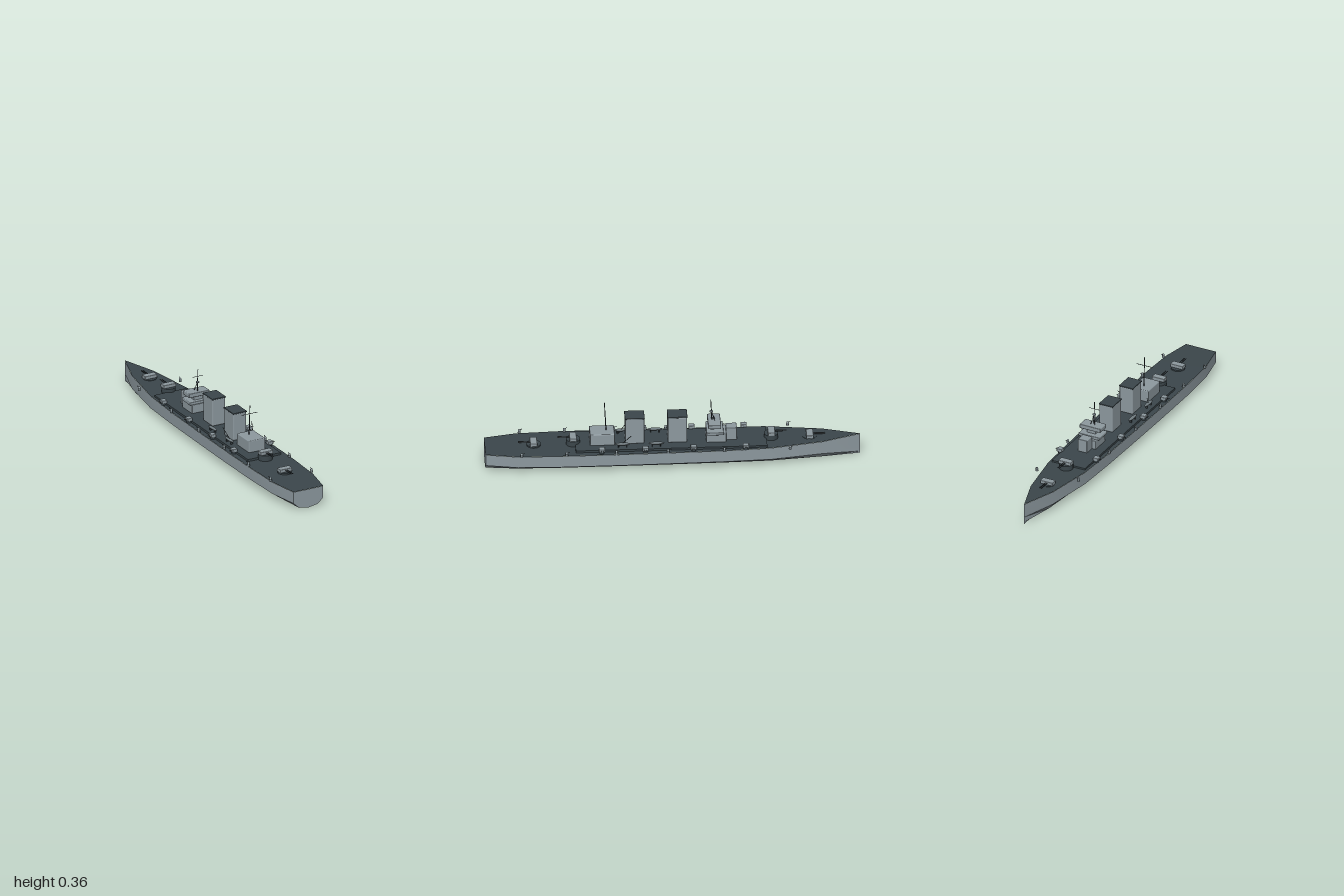
import * as THREE from 'three';
import { toCreasedNormals } from 'three/addons/utils/BufferGeometryUtils.js';
import { RoundedBoxGeometry } from 'three/addons/geometries/RoundedBoxGeometry.js';

const paint = new THREE.MeshStandardMaterial({ name: 'hull grey', color: 0x8d999f });
const deckPaint = new THREE.MeshStandardMaterial({ name: 'deck slate', color: 0x3b464b });
const gunmetal = new THREE.MeshStandardMaterial({ name: 'gunmetal', color: 0x343c40 });
const fitting = new THREE.MeshStandardMaterial({ name: 'boat grey', color: 0x6f7a7f });

// Hull stations, bow to stern: z, half width, deck height
const stations = [
  [-1, 0, 0.12], [-0.8, 0.067, 0.117], [-0.52, 0.112, 0.113], [-0.27, 0.122, 0.11],
  [0.03, 0.127, 0.11], [0.3, 0.13, 0.11], [0.6, 0.13, 0.11], [0.83, 0.122, 0.109], [1, 0.09, 0.108],
];

function geometryFrom(triangles, crease) {
  const g = new THREE.BufferGeometry();
  g.setAttribute('position', new THREE.Float32BufferAttribute(triangles.flat(), 3));
  g.computeVertexNormals();
  return toCreasedNormals(g, crease);
}

function hullGeometry() {
  const rings = stations.map(([z, w, d]) => [
    [w, d, z], [w, 0.043, z], [w * 0.64, 0.012, z], [0, 0.002, z],
    [-w * 0.64, 0.012, z], [-w, 0.043, z], [-w, d, z],
  ]);
  const t = [];
  for (let j = 0; j < rings.length - 1; j++) {
    for (let i = 0; i < 6; i++) {
      const a = rings[j][i], b = rings[j + 1][i], c = rings[j][i + 1], d = rings[j + 1][i + 1];
      t.push(a, b, c, c, b, d);
    }
  }
  // Flat transom
  const stern = rings[rings.length - 1];
  for (let i = 0; i < 6; i++) t.push([0, 0.108, 1], stern[i + 1], stern[i]);
  return geometryFrom(t, 0.3);
}

function deckGeometry() {
  const t = [];
  for (let j = 0; j < stations.length - 1; j++) {
    const [z0, w0, d0] = stations[j], [z1, w1, d1] = stations[j + 1];
    const e = 0.001;
    const a = [-w0, d0 + e, z0], b = [-w1, d1 + e, z1], c = [w0, d0 + e, z0], d = [w1, d1 + e, z1];
    t.push(a, b, c, c, b, d);
  }
  return geometryFrom(t, 0.3);
}

export function createModel() {
  const ship = new THREE.Group();
  ship.name = 'warship';

  const add = (name, geometry, material, x = 0, y = 0, z = 0, parent = ship) => {
    const m = new THREE.Mesh(geometry, material);
    m.name = name;
    m.position.set(x, y, z);
    parent.add(m);
    return m;
  };
  // Box given by its extents in x, y and z
  const block = (name, material, x0, x1, y0, y1, z0, z1, round = 0, parent = ship) => {
    const s = [x1 - x0, y1 - y0, z1 - z0];
    const g = round ? new RoundedBoxGeometry(...s, 2, round) : new THREE.BoxGeometry(...s);
    return add(name, g, material, (x0 + x1) / 2, (y0 + y1) / 2, (z0 + z1) / 2, parent);
  };
  // Round bar between two points
  const bar = (name, a, b, r, material = gunmetal, parent = ship, rTop = r) => {
    const p = new THREE.Vector3(...a), q = new THREE.Vector3(...b);
    const dir = q.clone().sub(p);
    const m = add(name, new THREE.CylinderGeometry(rTop, r, dir.length(), 8), material, 0, 0, 0, parent);
    m.position.copy(p).add(q).multiplyScalar(0.5);
    m.quaternion.setFromUnitVectors(new THREE.Vector3(0, 1, 0), dir.normalize());
    return m;
  };

  add('hull', hullGeometry(), paint);
  add('mainDeck', deckGeometry(), deckPaint);
  block('upperDeck', deckPaint, -0.1, 0.1, 0.108, 0.123, -0.5, 0.52);

  // Bridge tower
  block('bridgeBase', paint, -0.05, 0.05, 0.121, 0.172, -0.285, -0.178, 0.004);
  block('bridgeWings', paint, -0.063, 0.063, 0.171, 0.188, -0.27, -0.178, 0.004);
  block('bridgePedestal', paint, -0.025, 0.025, 0.187, 0.212, -0.24, -0.2);
  block('bridgeTop', paint, -0.063, 0.063, 0.21, 0.234, -0.256, -0.187, 0.004);
  block('conningTower', paint, -0.028, 0.028, 0.121, 0.195, -0.342, -0.283, 0.004);

  // Funnels with dark caps
  for (const z of [-0.025, 0.203]) {
    block('funnel', paint, -0.04, 0.04, 0.121, 0.274, z - 0.051, z + 0.051, 0.006);
    block('funnelCap', deckPaint, -0.042, 0.042, 0.272, 0.279, z - 0.053, z + 0.053, 0.002);
  }

  block('aftDeckhouse', paint, -0.05, 0.05, 0.121, 0.189, 0.31, 0.442, 0.005);

  // Masts and yards
  bar('mainMast', [0, 0.187, 0.354], [0, 0.357, 0.363], 0.003, gunmetal, ship, 0.002);
  bar('mainYard', [-0.048, 0.309, 0.36], [0.048, 0.309, 0.36], 0.0016);
  bar('foreMast', [0, 0.23, -0.21], [0, 0.357, -0.204], 0.003, gunmetal, ship, 0.002);
  bar('foreYard', [-0.032, 0.318, -0.206], [0.032, 0.318, -0.206], 0.0014);
  add('lookout', new THREE.SphereGeometry(0.01, 12, 8), fitting, 0, 0.285, -0.207).scale.y = 0.6;
  for (const s of [-1, 1]) bar('foreMastLeg', [s * 0.012, 0.232, -0.225], [0, 0.285, -0.207], 0.0016);

  // Main turrets: position, gunhouse floor, and the way the guns point
  for (const [z, y, dir] of [[-0.73, 0.119, -1], [-0.525, 0.142, -1], [0.53, 0.142, 1], [0.74, 0.118, 1]]) {
    const turret = new THREE.Group();
    turret.name = 'mainTurret';
    turret.position.set(0, y, z);
    turret.rotation.y = dir < 0 ? Math.PI : 0;
    ship.add(turret);
    const h = y - 0.105;
    add('barbette', new THREE.CylinderGeometry(0.038, 0.038, h, 24), deckPaint, 0, -h / 2, 0, turret);
    block('gunhouse', paint, -0.037, 0.037, 0, 0.019, -0.018, 0.02, 0.003, turret);
    for (const x of [-0.005, 0.005]) bar('gunBarrel', [x, 0.011, 0.015], [x, 0.012, 0.083], 0.0022, gunmetal, turret);
  }

  for (const s of [-1, 1]) {
    // Side gun mounts
    for (const z of [-0.385, -0.107, 0.15, 0.382]) {
      const x0 = s > 0 ? 0.094 : -0.124;
      add('sideMountBase', new THREE.CylinderGeometry(0.013, 0.013, 0.018, 12), deckPaint, s * 0.108, 0.118, z);
      block('sideMount', paint, x0, x0 + 0.03, 0.122, 0.14, z - 0.016, z + 0.016, 0.003);
      for (const dz of [-0.005, 0.005]) bar('sideGunBarrel', [s * 0.12, 0.13, z + dz], [s * 0.136, 0.131, z + dz], 0.0018);
    }
    // Light guns along the deck edge
    for (const z of [-0.62, -0.27, 0.03, 0.305, 0.57, 0.81]) {
      add('lightGunBase', new THREE.CylinderGeometry(0.006, 0.008, 0.014, 10), fitting, s * 0.125, 0.118, z);
      add('lightGunMount', new THREE.SphereGeometry(0.007, 10, 8), paint, s * 0.125, 0.126, z);
      bar('lightGunBarrel', [s * 0.125, 0.127, z], [s * 0.129, 0.133, z - 0.016], 0.0014);
    }
    // Ship's boats on chocks
    for (const z of [0.09, 0.27]) {
      add('boat', new THREE.SphereGeometry(1, 16, 10), fitting, s * 0.073, 0.142, z).scale.set(0.011, 0.006, 0.043);
      for (const dz of [-0.022, 0.022]) block('boatChock', gunmetal, s * 0.073 - 0.006, s * 0.073 + 0.006, 0.122, 0.139, z + dz - 0.002, z + dz + 0.002);
    }
    // Boat crane boom
    bar('craneBoom', [s * 0.063, 0.122, 0.29], [s * 0.088, 0.198, 0.225], 0.0018);
  }

  return ship;
}
